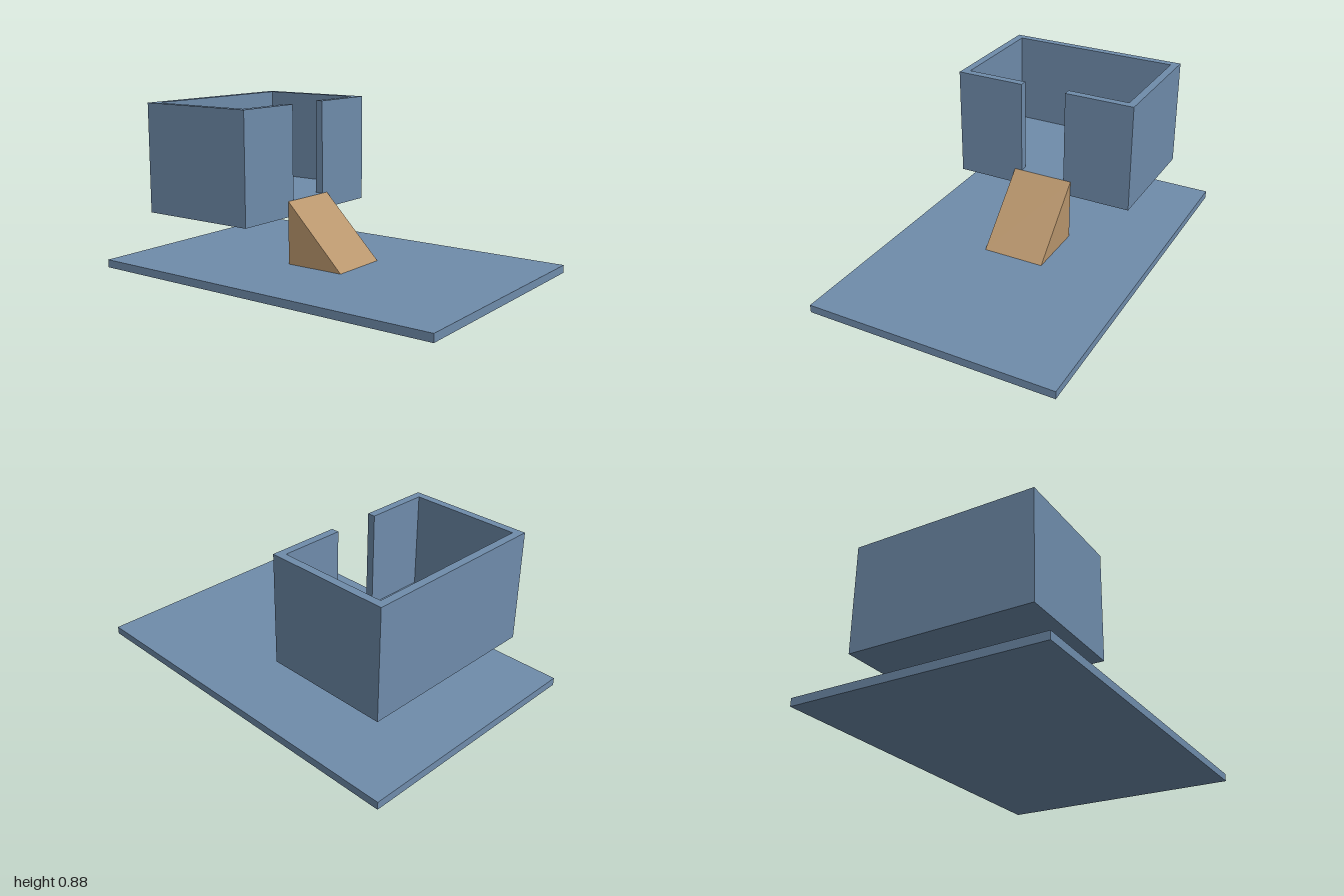
import * as THREE from 'three';

const U = 1 / 24; // wall and slab thickness

const blue = new THREE.MeshStandardMaterial({ color: 0x6f8cab });
const tan = new THREE.MeshStandardMaterial({ color: 0xb8956c });

function polygon(points) {
  return new THREE.Shape(points.map(([x, y]) => new THREE.Vector2(x, y)));
}

function extrude(points, depth) {
  return new THREE.ExtrudeGeometry(polygon(points), { depth, bevelEnabled: false });
}

function addMesh(group, name, geometry, material) {
  const mesh = new THREE.Mesh(geometry, material);
  mesh.name = name;
  group.add(mesh);
  return mesh;
}

export function createModel() {
  const group = new THREE.Group();
  group.name = 'raisedRoomWithRamp';

  // Ground slab
  addMesh(group, 'basePlate', new THREE.BoxGeometry(32 * U, U, 48 * U), blue).position.y = U / 2;

  // Floating room: thick floor and a wall ring open at the doorway
  const room = new THREE.Group();
  room.name = 'room';
  group.add(room);
  addMesh(room, 'roomFloor', new THREE.BoxGeometry(24 * U, 2 * U, 16 * U), blue)
    .position.set(0, 8 * U, -12 * U);

  // Plan outline, half of it mirrored; plan y is -z
  const half = [
    [3, 4], [12, 4], [12, 20], [0, 20], [0, 19], [11, 19], [11, 5], [3, 5],
  ].map(([x, y]) => [x * U, y * U]);
  const right = half.slice(0, 3);
  const inner = half.slice(5);
  const mirror = (pts) => pts.map(([x, y]) => [-x, y]).reverse();
  const plan = [...right, ...mirror(right), ...mirror(inner), ...inner];
  const walls = addMesh(room, 'walls', extrude(plan, 12 * U), blue);
  walls.rotation.x = -Math.PI / 2;
  walls.position.y = 9 * U;

  // Wedge ramp rising to the doorway; profile x is -z
  const wedge = extrude([[-4 * U, U], [4 * U, U], [4 * U, 9 * U]], 8 * U);
  wedge.translate(0, 0, -4 * U);
  wedge.rotateY(Math.PI / 2);
  addMesh(group, 'ramp', wedge, tan);

  return group;
}
